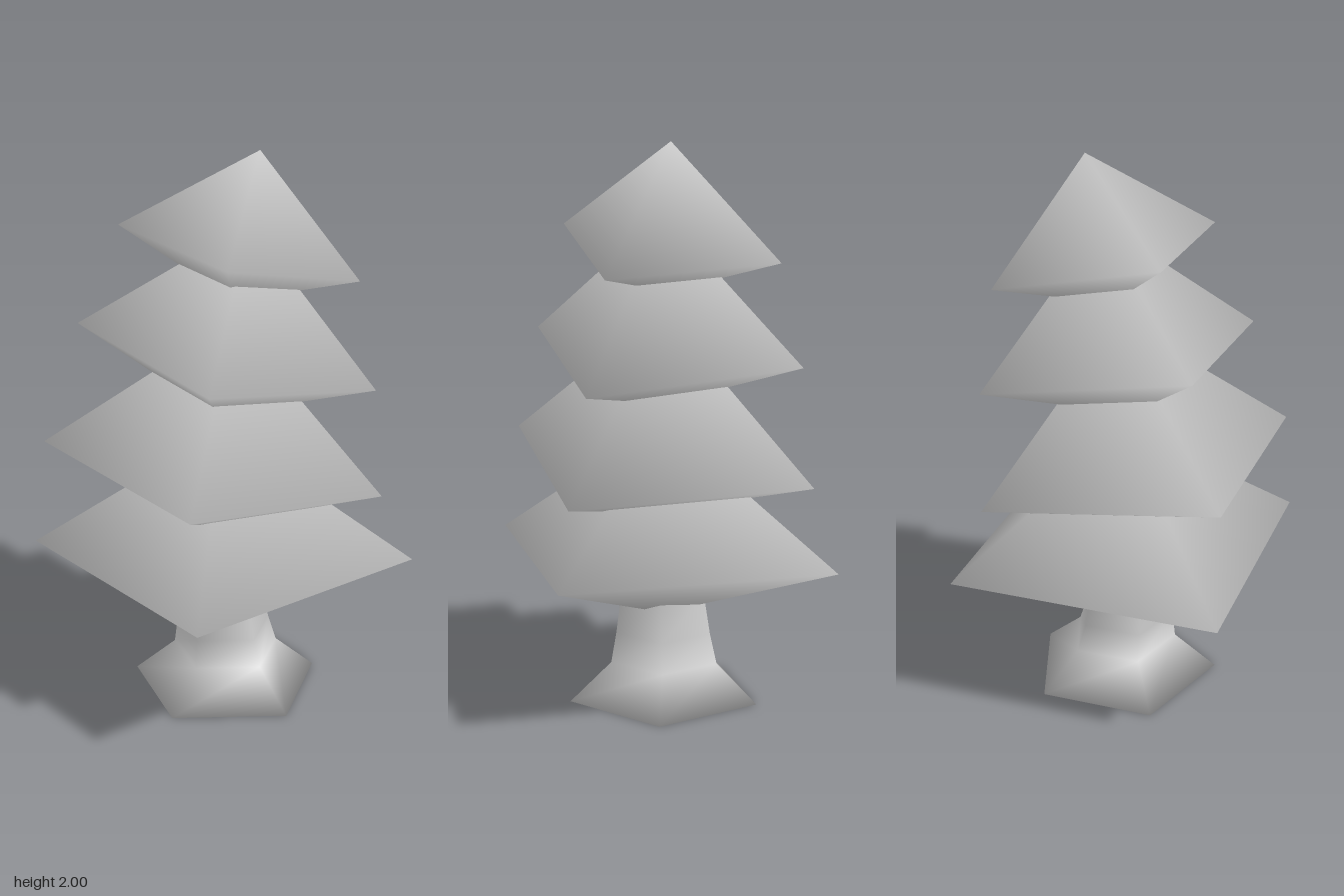
import * as THREE from 'three';

const material = new THREE.MeshStandardMaterial({ color: 0xcccccc });

// Closed solid: a bottom point, stacked rings (same corner count, running from +z towards +x), a top point.
function spindle(name, bottom, rings, top) {
  const n = rings[0].length;
  const index = [];
  const at = (r, i) => 1 + r * n + (i % n);
  const last = rings.length - 1;
  const tip = 1 + rings.length * n;
  for (let i = 0; i < n; i++) {
    index.push(0, at(0, i + 1), at(0, i));
    for (let r = 0; r < last; r++) {
      index.push(at(r, i), at(r, i + 1), at(r + 1, i + 1));
      index.push(at(r, i), at(r + 1, i + 1), at(r + 1, i));
    }
    index.push(at(last, i), at(last, i + 1), tip);
  }
  const geometry = new THREE.BufferGeometry();
  const points = [bottom, ...rings.flat(), top].flat();
  geometry.setAttribute('position', new THREE.Float32BufferAttribute(points, 3));
  geometry.setIndex(index);
  geometry.computeVertexNormals(); // shared corners give the soft shading
  const mesh = new THREE.Mesh(geometry, material);
  mesh.name = name;
  return mesh;
}

// Five-sided ring of the trunk, one corner pointing to +x.
function pentagon(radius, y, z) {
  return Array.from({ length: 5 }, (_, i) => {
    const a = Math.PI / 2 + (i * Math.PI * 2) / 5;
    return [radius * Math.sin(a), y, z + radius * Math.cos(a)];
  });
}

export function createModel() {
  const tree = new THREE.Group();
  tree.name = 'tree';

  // Trunk with a flared foot
  tree.add(spindle('trunk', [0, 0, -0.02], [
    pentagon(0.352, 0, -0.02),
    pentagon(0.2, 0.135, -0.02),
    pentagon(0.178, 0.24, -0.008),
    pentagon(0.157, 0.38, 0),
    pentagon(0.15, 0.46, 0),
  ], [0, 0.46, 0]));

  // Foliage tiers: tilted four-sided double pyramids.
  // Corners run front left, back left, back right, front right (left is +x).
  const tiers = [
    { bottom: [0, 0.3, 0], top: [0, 1.01, 0],
      ring: [[0.49, 0.54, 0.49], [0.49, 0.54, -0.49], [-0.49, 0.54, -0.49], [-0.49, 0.54, 0.49]] },
    { bottom: [0, 0.66, 0.08], top: [0.015, 1.415, -0.04],
      ring: [[0.435, 0.925, 0.475], [0.43, 0.795, -0.385], [-0.435, 0.82, -0.385], [-0.43, 0.95, 0.475]] },
    { bottom: [-0.01, 1.07, 0.016], top: [0.027, 1.755, -0.1],
      ring: [[0.38, 1.315, 0.352], [0.37, 1.175, -0.397], [-0.385, 1.245, -0.397], [-0.375, 1.385, 0.352]] },
    { bottom: [-0.005, 1.48, -0.054], top: [0.015, 2, -0.155],
      ring: [[0.308, 1.7, 0.22], [0.298, 1.56, -0.373], [-0.31, 1.6, -0.373], [-0.303, 1.735, 0.22]] },
  ];
  tiers.forEach((t, i) => tree.add(spindle(`foliageTier${i + 1}`, t.bottom, [t.ring], t.top)));

  return tree;
}
